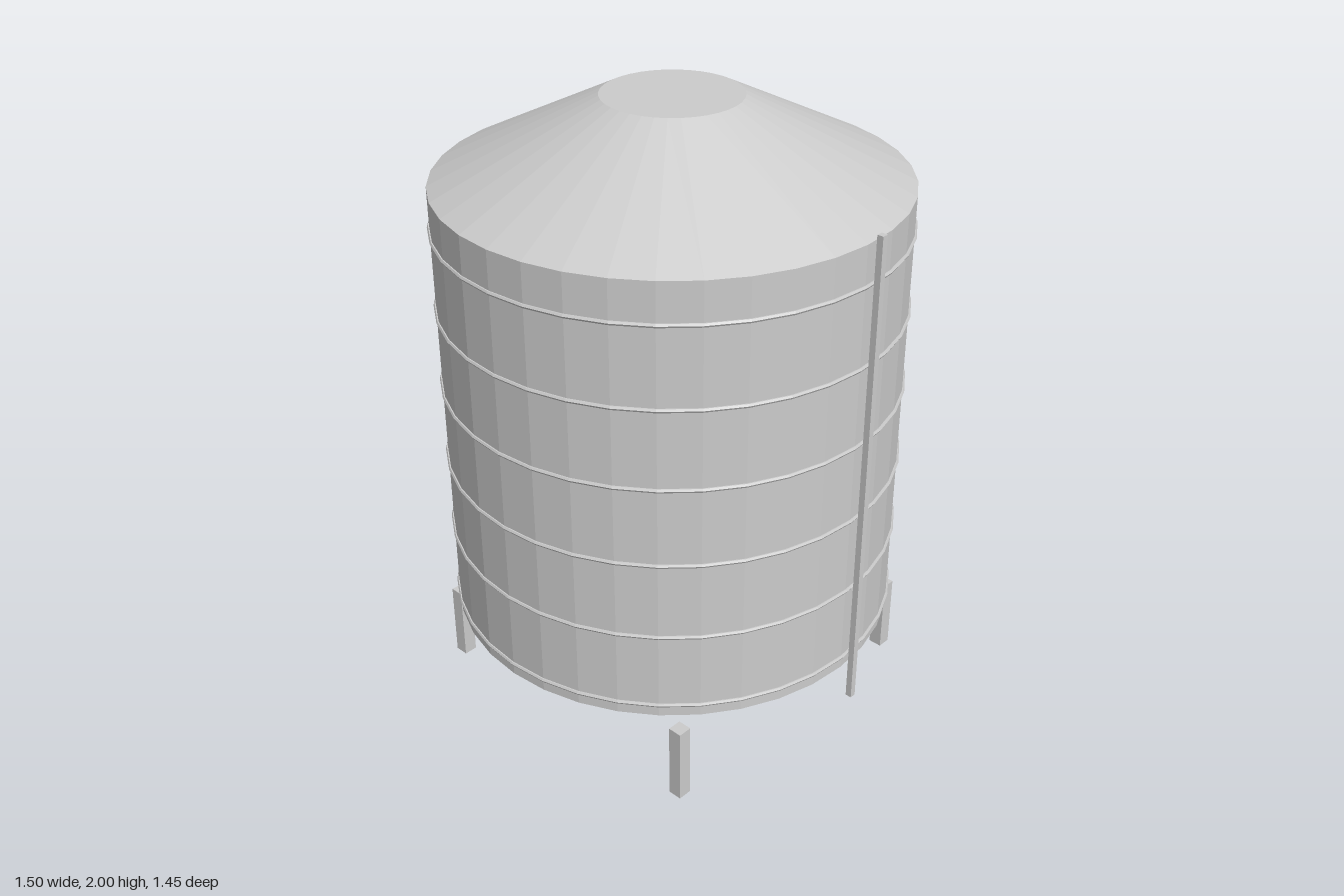
import * as THREE from 'three';

const SIDES = 36;
const CENTRE_X = -0.025; // tank axis; the pole stands off to the left side
const RADIUS = 0.72;

export function createModel() {
  const model = new THREE.Group();
  model.name = 'storageTank';
  const material = new THREE.MeshStandardMaterial({ color: 0xcccccc, flatShading: true });

  const add = (name, geometry, x, y, z) => {
    const mesh = new THREE.Mesh(geometry, material);
    mesh.name = name;
    mesh.position.set(x, y, z);
    model.add(mesh);
    return mesh;
  };

  // Shell, roof and hopper share one outline turned about the tank axis
  const outline = [
    [0, 0.05], [0.297, 0.05], [RADIUS, 0.305], [RADIUS, 1.747], [0.213, 2], [0, 2],
  ].map(([r, y]) => new THREE.Vector2(r, y));
  add('tankBody', new THREE.LatheGeometry(outline, SIDES), CENTRE_X, 0, 0);

  // Hoops around the shell
  const hoop = new THREE.TorusGeometry(RADIUS, 0.007, 6, SIDES).rotateX(Math.PI / 2);
  for (let i = 0; i < 6; i++) add('hoop', hoop, CENTRE_X, 0.345 + i * 0.255, 0);

  // Four square legs
  const leg = new THREE.BoxGeometry(0.045, 0.255, 0.045);
  for (const sx of [-1, 1]) {
    for (const sz of [-1, 1]) add('leg', leg, CENTRE_X + sx * 0.51, 0.1275, sz * 0.51);
  }

  // Upright pole beside the shell
  add('sidePole', new THREE.BoxGeometry(0.02, 1.57, 0.02), 0.74, 1.005, 0);

  return model;
}
